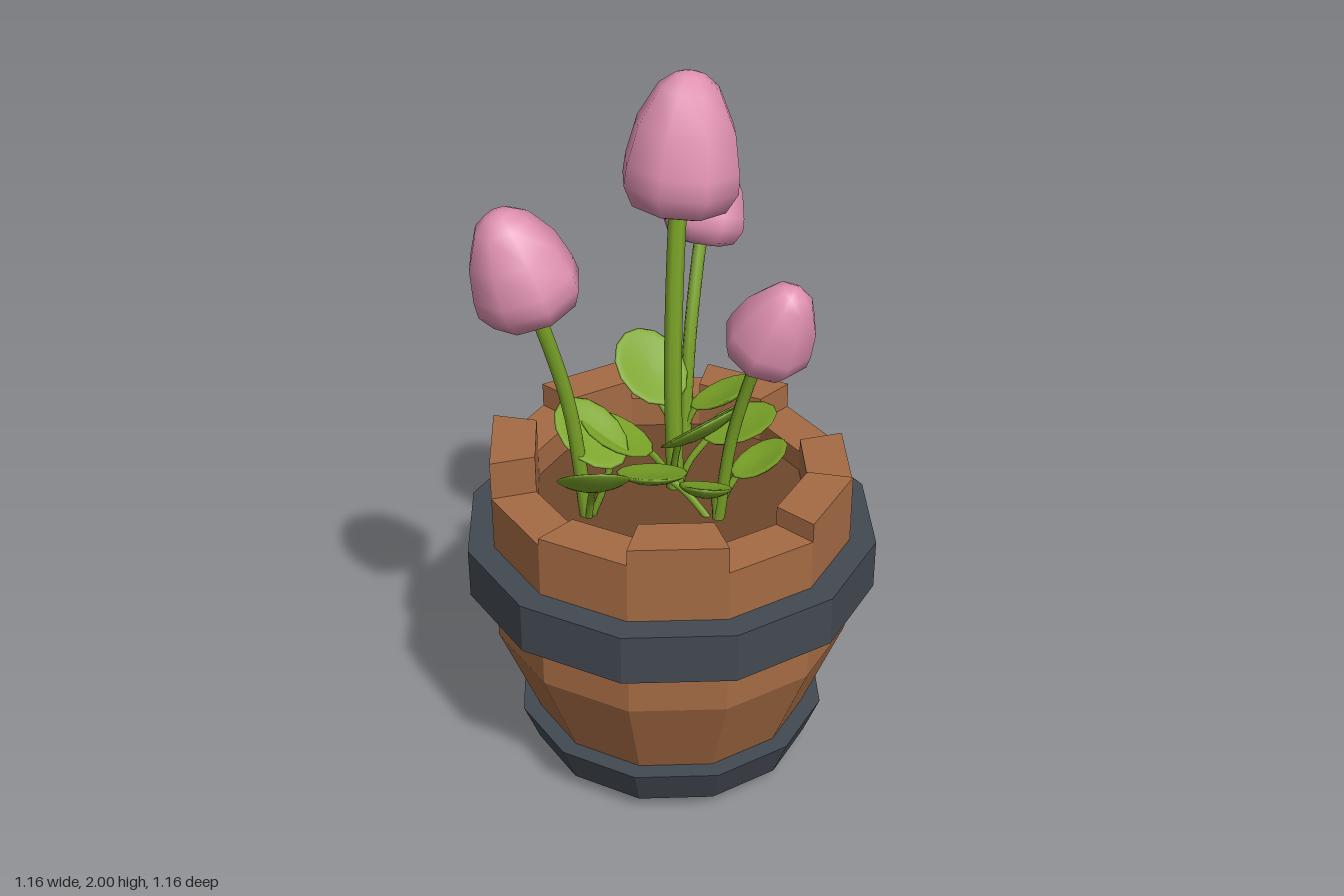
import * as THREE from 'three';
import { mergeGeometries, mergeVertices } from 'three/addons/utils/BufferGeometryUtils.js';

const V = (x, y, z) => new THREE.Vector3(x, y, z);
const P = (pairs) => pairs.map(([x, y]) => new THREE.Vector2(x, y));
const STEP = Math.PI / 6;
const SOIL_Y = 0.82;

const material = (name, color) => {
  const m = new THREE.MeshStandardMaterial({ color });
  m.name = name;
  return m;
};

function flat(geometry) {
  const g = geometry.toNonIndexed();
  g.computeVertexNormals();
  return g;
}

// One barrel stave: a wedge of the wall profile with closed ends
function staveGeometry(k, top) {
  const start = Math.PI / 2 - STEP * (k + 1);
  const profile = P([[0.33, 0], [0.505, 0.44], [0.505, top], [0.38, top], [0.38, 0.44], [0.24, 0]]);
  const wall = new THREE.LatheGeometry([...profile, profile[0]], 1, start, STEP);
  const cap = (phi, flip) => {
    const g = new THREE.ShapeGeometry(new THREE.Shape(profile));
    if (flip) g.index.array.reverse();
    return flat(g.rotateY(phi - Math.PI / 2));
  };
  return mergeGeometries([flat(wall), cap(start, false), cap(start + STEP, true)]);
}

// Twelve-sided hoop with a closed cross-section
function hoopGeometry(y0, y1, r0, r1, in0, in1) {
  const loop = P([[r0, y0], [r1, y1], [in1, y1], [in0, y0], [r0, y0]]);
  return flat(new THREE.LatheGeometry(loop, 12));
}

// Eight-sided tulip bud, pointed at the top
function budGeometry(radius, height) {
  const profile = P([[0, 0.01], [0.5, 0], [0.82, 0.05], [1, 0.2], [0.98, 0.34],
    [0.84, 0.62], [0.52, 0.88], [0.25, 0.97], [0, 1]]);
  profile.forEach((p) => p.set(p.x * radius, p.y * height));
  let g = new THREE.LatheGeometry(profile, 8, Math.PI / 8);
  g.deleteAttribute('uv');
  g.deleteAttribute('normal');
  g = mergeVertices(g, 1e-4);
  g.computeVertexNormals();
  return g;
}

// Rounded, slightly cupped leaf blade running from base to tip
function leafGeometry(base, tip, width) {
  const along = tip.clone().sub(base);
  const length = along.length();
  along.normalize();
  const side = V(along.z, 0, -along.x).normalize();
  const normal = along.clone().cross(side);
  const g = new THREE.SphereGeometry(1, 14, 10);
  const pos = g.attributes.position;
  for (let i = 0; i < pos.count; i++) {
    const x = pos.getX(i), z = pos.getZ(i);
    const cup = 0.018 * (x * x + z * z) - 0.012;
    pos.setXYZ(i, x * width / 2, pos.getY(i) * 0.013 + cup, z * length / 2);
  }
  g.computeVertexNormals();
  g.applyMatrix4(new THREE.Matrix4().makeBasis(side, normal, along));
  const mid = base.clone().add(tip).multiplyScalar(0.5);
  return g.translate(mid.x, mid.y, mid.z);
}

const tube = (points, radius) =>
  new THREE.TubeGeometry(new THREE.CatmullRomCurve3(points), 10, radius, 7, false);

export function createModel() {
  const model = new THREE.Group();
  model.name = 'flowerBarrel';
  const wood = material('wood', 0xa56b44);
  const iron = material('darkIron', 0x434952);
  const earth = material('soil', 0x6d472b);
  const green = material('leafGreen', 0x7ba428);
  const pink = material('petalPink', 0xdf90b0);

  const add = (parent, name, geometry, mat) => {
    const mesh = new THREE.Mesh(geometry, mat);
    mesh.name = name;
    parent.add(mesh);
    return mesh;
  };
  const group = (name) => {
    const g = new THREE.Group();
    g.name = name;
    model.add(g);
    return g;
  };

  // Barrel staves with uneven tops, counted from +x towards +z
  const barrel = group('barrel');
  [0.88, 0.92, 0.935, 0.88, 0.955, 0.91, 0.89, 1.0, 0.9, 0.97, 0.91, 0.955]
    .forEach((top, k) => add(barrel, 'stave', staveGeometry(k, top), wood));

  // Iron hoops
  add(barrel, 'upperHoop', hoopGeometry(0.59, 0.735, 0.578, 0.578, 0.5, 0.5), iron);
  add(barrel, 'lowerHoop', hoopGeometry(0.045, 0.16, 0.4, 0.445, 0.34, 0.385), iron);

  // Soil surface and the recessed underside
  add(barrel, 'soil', new THREE.CircleGeometry(0.382, 12).rotateX(-Math.PI / 2).translate(0, SOIL_Y, 0), earth);
  add(barrel, 'underside', new THREE.CircleGeometry(0.275, 12).rotateX(Math.PI / 2).translate(0, 0.1, 0), earth);

  // Tulips: root, bend, bud base, bud tip, bud radius, stem radius
  const tulips = [
    [V(0.03, 0.78, -0.01), V(0.035, 1.2, -0.025), V(0.075, 1.63, -0.045), V(0.115, 2.0, -0.035), 0.16, 0.025],
    [V(-0.235, 0.78, -0.09), V(-0.29, 1.18, -0.095), V(-0.375, 1.475, -0.11), V(-0.452, 1.765, -0.155), 0.141, 0.02],
    [V(0.23, 0.78, -0.16), V(0.275, 1.13, -0.18), V(0.36, 1.385, -0.22), V(0.452, 1.62, -0.25), 0.119, 0.019],
    [V(-0.01, 0.78, 0.18), V(-0.01, 1.1, 0.23), V(-0.012, 1.36, 0.315), V(-0.01, 1.585, 0.425), 0.115, 0.017],
  ];
  const up = V(0, 1, 0);
  for (const [root, bend, base, tip, radius, stemRadius] of tulips) {
    const tulip = group('tulip');
    const axis = tip.clone().sub(base);
    const top = base.clone().addScaledVector(axis, 0.12);
    add(tulip, 'stem', tube([root, bend, base, top], stemRadius), green);
    const bud = add(tulip, 'bud', budGeometry(radius, axis.length()), pink);
    bud.position.copy(base);
    bud.quaternion.setFromUnitVectors(up, axis.normalize());
  }

  // Leaves: owning tulip, blade base, blade tip, width
  const leaves = [
    [1, V(-0.3, 0.97, 0.0), V(-0.44, 1.13, 0.145), 0.19],
    [0, V(-0.02, 1.0, 0.03), V(-0.02, 1.17, 0.235), 0.235],
    [0, V(0.1, 0.96, 0.03), V(0.26, 1.03, 0.16), 0.19],
    [3, V(-0.1, 0.96, 0.03), V(-0.25, 1.03, 0.16), 0.19],
    [3, V(0.03, 0.94, 0.2), V(0.16, 1.02, 0.28), 0.13],
    [3, V(-0.04, 0.94, 0.19), V(-0.2, 1.03, 0.28), 0.14],
    [1, V(-0.2, 0.98, -0.01), V(-0.18, 1.1, -0.225), 0.19],
    [0, V(-0.04, 0.96, -0.03), V(-0.18, 1.06, -0.17), 0.2],
    [0, V(0.1, 1.02, -0.09), V(0.125, 1.18, -0.27), 0.22],
    [2, V(0.25, 0.93, -0.15), V(0.36, 1.02, -0.01), 0.15],
    [2, V(0.2, 0.95, -0.25), V(0.26, 1.07, -0.38), 0.14],
  ];
  const foliage = group('foliage');
  for (const [owner, base, tip, width] of leaves) {
    const root = tulips[owner][0];
    const inside = base.clone().lerp(tip, 0.1);
    const mid = root.clone().lerp(base, 0.5).add(V(0, 0.02, 0));
    add(foliage, 'leaf', leafGeometry(base, tip, width), green);
    add(foliage, 'leafStalk', tube([root, mid, inside], 0.01), green);
  }
  return model;
}
